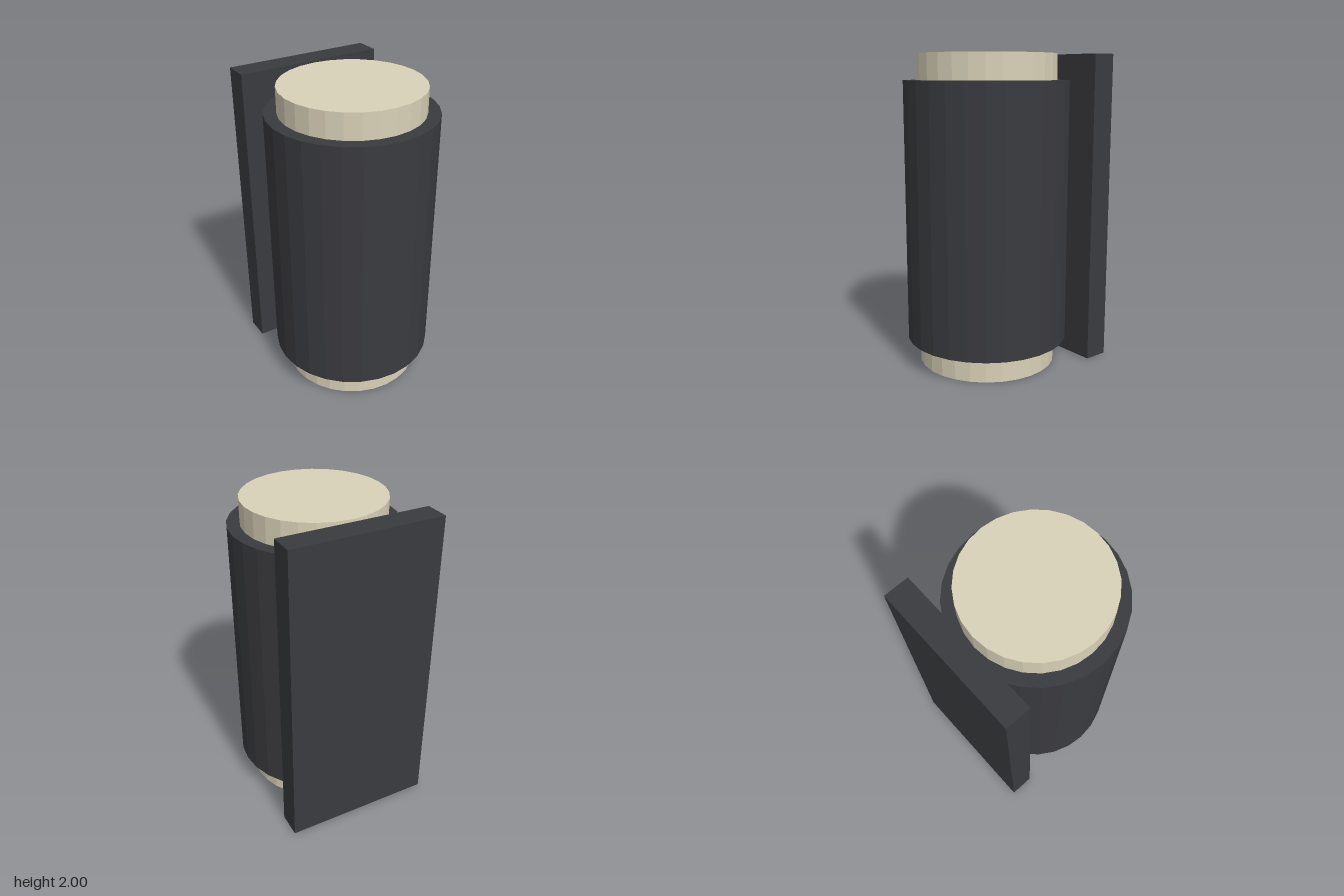
import * as THREE from 'three';

export function createModel() {
  const group = new THREE.Group();
  const dark = new THREE.MeshStandardMaterial({ color: 0x3a3b3f, flatShading: true });
  const cream = new THREE.MeshStandardMaterial({ color: 0xd9d2b8, flatShading: true });

  const add = (name, geometry, material, y, z) => {
    const mesh = new THREE.Mesh(geometry, material);
    mesh.name = name;
    mesh.position.set(0, y, z);
    group.add(mesh);
  };

  const sides = 28;
  const axisZ = 0.055;

  // Full-height pale core, showing at both ends
  add('core', new THREE.CylinderGeometry(0.447, 0.447, 2, sides), cream, 1, axisZ);
  // Dark sleeve around the middle
  add('sleeve', new THREE.CylinderGeometry(0.527, 0.527, 1.676, sides), dark, 1, axisZ);
  // Mounting plate behind, overlapping the sleeve
  add('backPlate', new THREE.BoxGeometry(0.96, 2, 0.16), dark, 1, -0.505);

  return group;
}
